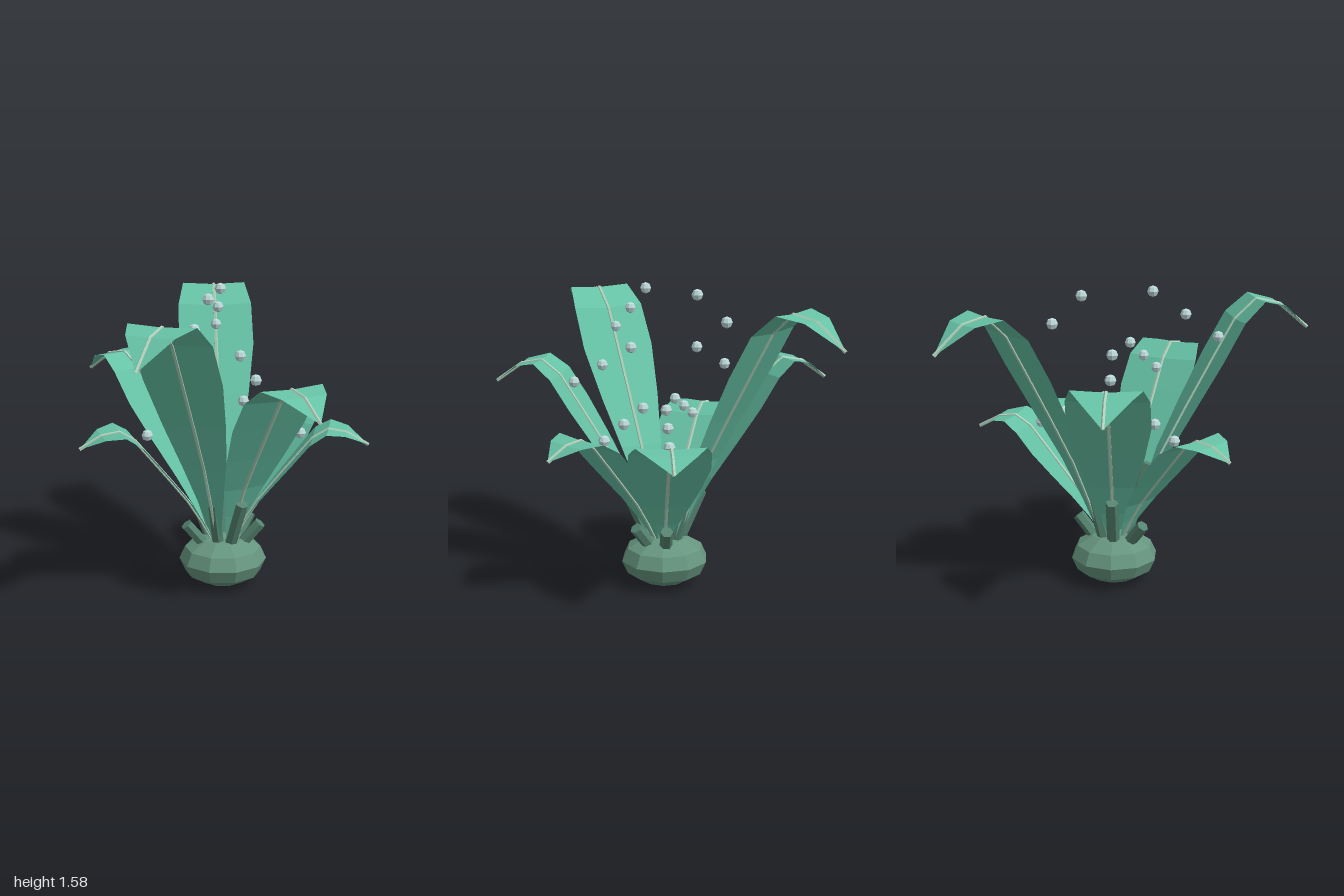
import * as THREE from 'three';

const mat = (name, color, side = THREE.FrontSide) => {
  const m = new THREE.MeshStandardMaterial({ color, flatShading: true, side });
  m.name = name;
  return m;
};

// leaf cross-sections: [distance outward, height above base, half width]
const ROWS = [
  [0.08, 0, 0.02], [0.16, 0.22, 0.065], [0.255, 0.45, 0.12], [0.385, 0.7, 0.17],
  [0.52, 0.95, 0.207], [0.635, 1.158, 0.203], [0.745, 1.26, 0.173],
  [0.87, 1.23, 0.123], [1.025, 1.095, 0],
];
const BASE_Y = 0.25;
const SAG = 0.05; // depth of the fold along the midrib

// three sizes of leaf, repeated around the plant
const SIZES = [
  { reach: 0.736, rise: 0.5, stub: [0.2, 0.345], dewY: 0.975, dewDrop: 0.065 },
  { reach: 0.87, rise: 0.75, stub: [0.2, 0.495], dewY: 1.265, dewDrop: 0.095 },
  { reach: 1, rise: 1, stub: [0.18, 0.64], dewY: 1.553, dewDrop: 0.123 },
];

function midline({ reach, rise }) {
  return ROWS.map(([r, y, w]) => new THREE.Vector3(r * reach, BASE_Y + y * rise - w * SAG, 0));
}

// folded blade: left edge, midline and right edge of each row
function bladeGeometry(size) {
  const pos = [], index = [];
  midline(size).forEach((p, i) => {
    const w = ROWS[i][2];
    for (const s of [-1, 0, 1]) pos.push(p.x, p.y + Math.abs(s) * w * SAG, s * w);
    if (i === 0) return;
    for (let k = 0; k < 2; k++) {
      const a = (i - 1) * 3 + k, b = i * 3 + k;
      index.push(a, a + 1, b, a + 1, b + 1, b);
    }
  });
  const g = new THREE.BufferGeometry();
  g.setAttribute('position', new THREE.Float32BufferAttribute(pos, 3));
  g.setIndex(index);
  g.computeVertexNormals();
  return g;
}

// thin rib whose rings sit exactly on the blade rows
function ribGeometry(size) {
  const curve = new THREE.CatmullRomCurve3(midline(size));
  curve.getUtoTmapping = (u) => u;
  return new THREE.TubeGeometry(curve, ROWS.length - 1, 0.01, 5);
}

// short stalk stump between two points
function stump(a, b, radius, material) {
  const dir = b.clone().sub(a);
  const mesh = new THREE.Mesh(new THREE.CylinderGeometry(radius, radius, dir.length(), 6), material);
  mesh.position.copy(a).add(b).multiplyScalar(0.5);
  mesh.quaternion.setFromUnitVectors(new THREE.Vector3(0, 1, 0), dir.normalize());
  return mesh;
}

export function createModel() {
  const root = new THREE.Group();
  root.name = 'plant';
  const leafMat = mat('leafGreen', 0x66c2a5, THREE.DoubleSide);
  const bulbMat = mat('bulbGreen', 0x66957f);
  const stalkMat = mat('stalkGreen', 0x568471);
  const ribMat = mat('ribGreen', 0xabcdb9);
  const dewMat = mat('dewGrey', 0xbcd8d8);

  const plant = new THREE.Group();
  plant.name = 'leafRosette';
  plant.position.x = 0.027;
  root.add(plant);

  // faceted squashed bulb
  const bulb = new THREE.Mesh(new THREE.SphereGeometry(0.232, 10, 6), bulbMat);
  bulb.name = 'bulb';
  bulb.scale.y = 0.585;
  bulb.position.y = 0.136;
  bulb.rotation.y = 0.157;
  plant.add(bulb);

  const dewGeo = new THREE.SphereGeometry(0.03, 8, 4);
  for (let i = 0; i < 7; i++) {
    const size = SIZES[i % 3];
    const frond = new THREE.Group();
    frond.name = 'frond' + (i + 1);
    frond.rotation.y = -(i * Math.PI * 2) / 7;
    plant.add(frond);

    const blade = new THREE.Mesh(bladeGeometry(size), leafMat);
    blade.name = 'leafBlade';
    frond.add(blade);

    const rib = new THREE.Mesh(ribGeometry(size), ribMat);
    rib.name = 'midrib';
    frond.add(rib);

    const stalk = stump(new THREE.Vector3(0.04, 0.15, 0),
      new THREE.Vector3(size.stub[0], size.stub[1], 0), 0.033, stalkMat);
    stalk.name = 'stalkStump';
    frond.add(stalk);

    // three dew beads floating in a line above the leaf
    for (let k = 0; k < 3; k++) {
      const dew = new THREE.Mesh(dewGeo, dewMat);
      dew.name = 'dewBead';
      dew.position.set((0.2 + 0.174 * k) * size.reach, size.dewY - k * size.dewDrop, 0);
      frond.add(dew);
    }
  }
  return root;
}
